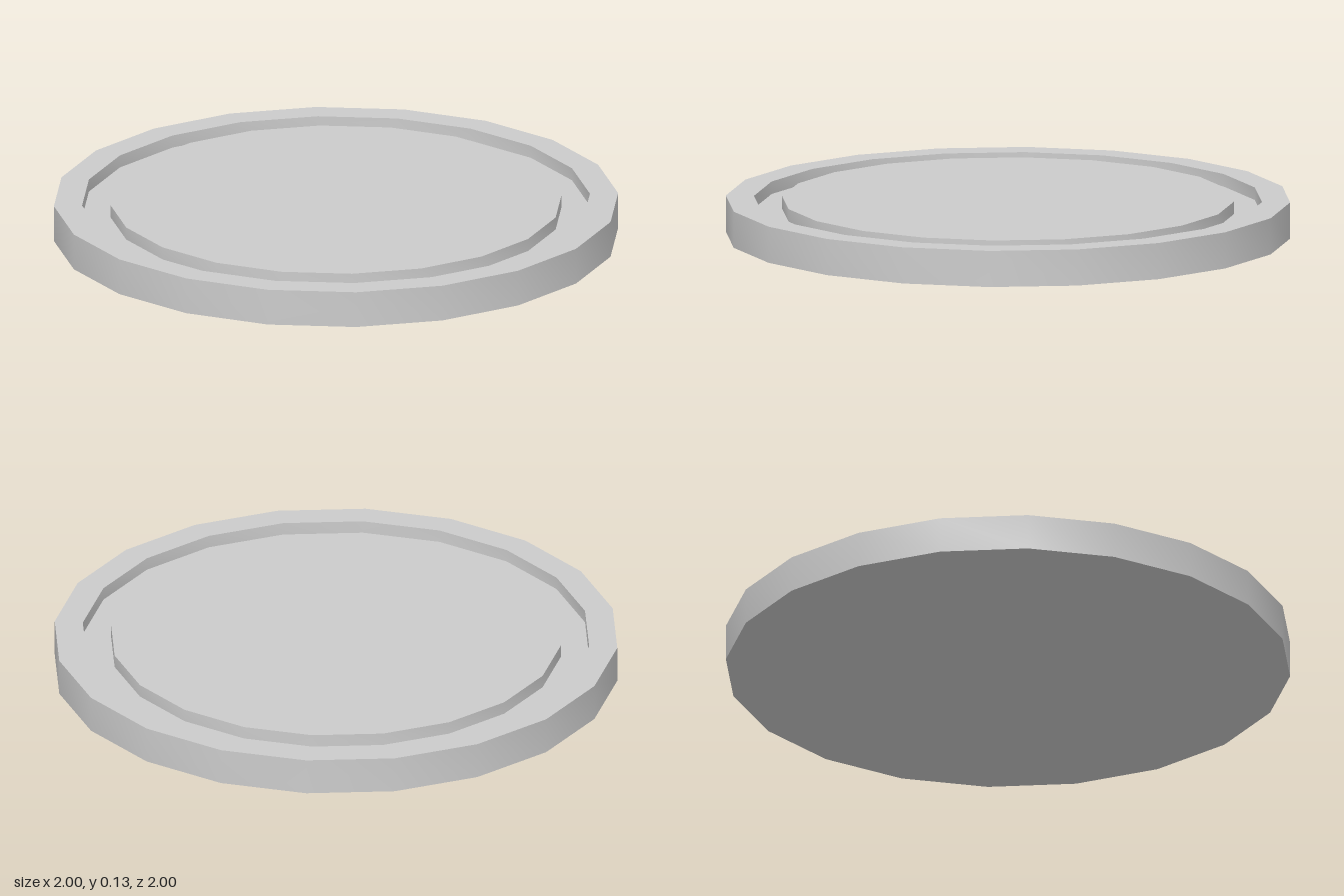
import * as THREE from 'three';
import { toCreasedNormals } from 'three/addons/utils/BufferGeometryUtils.js';

const SIDES = 20;
const HEIGHT = 0.13;
const GROOVE_FLOOR = 0.085;

export function createModel() {
  const group = new THREE.Group();
  group.name = 'groovedDisc';

  // Profile from the underside centre, up the outer wall, through the ring groove, to the top centre
  const profile = [
    [0, 0],
    [1, 0],
    [1, HEIGHT],
    [0.9, HEIGHT],
    [0.9, GROOVE_FLOOR],
    [0.8, GROOVE_FLOOR],
    [0.8, HEIGHT],
    [0, HEIGHT],
  ].map(([r, y]) => new THREE.Vector2(r, y));

  // Walls shade smoothly around, rims stay sharp
  const geometry = toCreasedNormals(new THREE.LatheGeometry(profile, SIDES), 0.6);
  const disc = new THREE.Mesh(geometry, new THREE.MeshStandardMaterial({ color: 0xcccccc }));
  disc.name = 'discBody';
  group.add(disc);

  return group;
}
